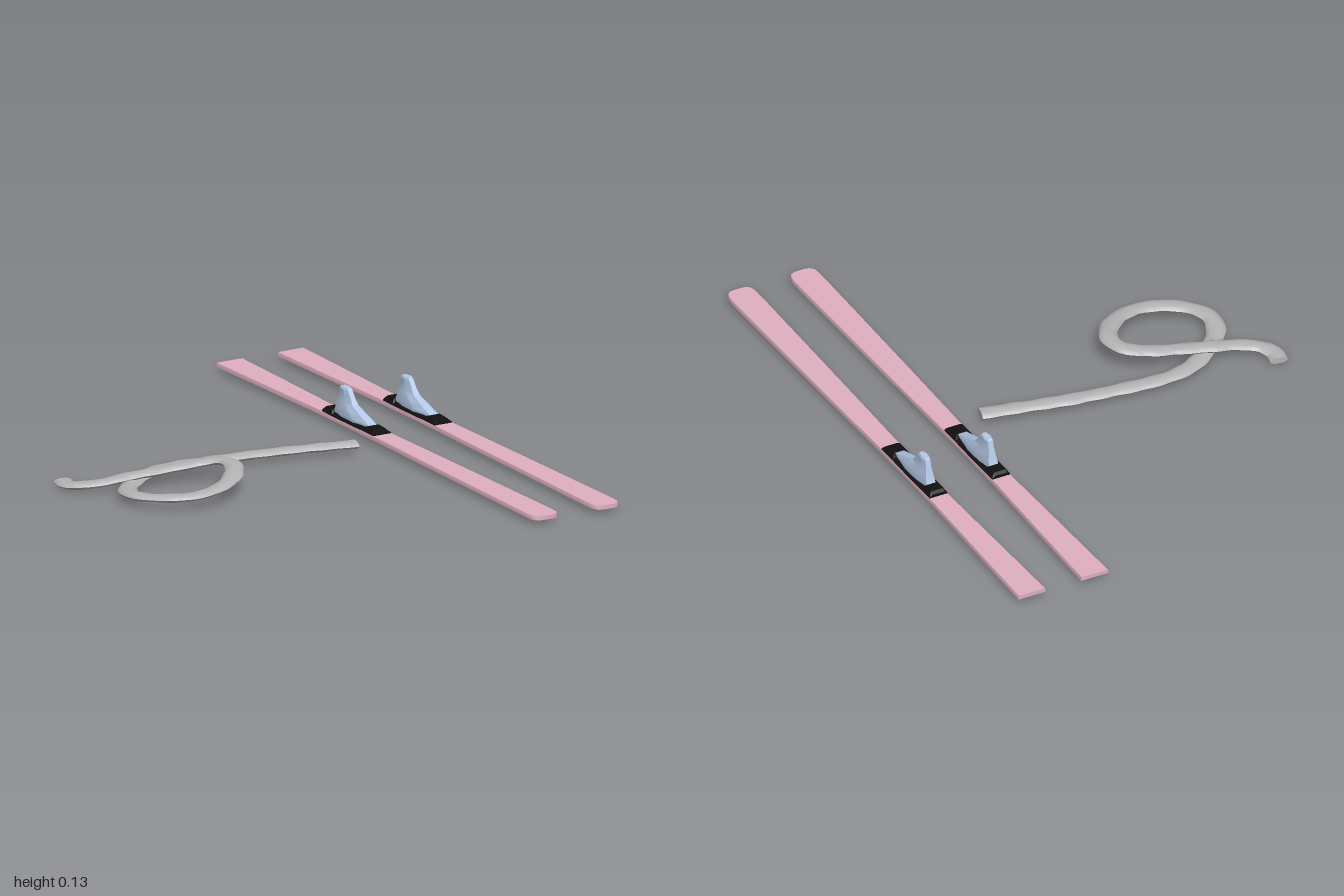
import * as THREE from 'three';
import { toCreasedNormals } from 'three/addons/utils/BufferGeometryUtils.js';

// Skin a list of rings (each counter-clockwise about the travel direction) and cap both ends
function loft(rings, crease) {
  const n = rings[0].length, pos = [], index = [];
  rings.forEach(r => r.forEach(p => pos.push(...p)));
  for (let i = 0; i < rings.length - 1; i++) {
    for (let j = 0; j < n; j++) {
      const a = i * n + j, b = i * n + (j + 1) % n;
      index.push(a, b, b + n, a, b + n, a + n);
    }
  }
  const last = (rings.length - 1) * n;
  for (let j = 1; j < n - 1; j++) {
    index.push(0, j + 1, j);
    index.push(last, last + j, last + j + 1);
  }
  const g = new THREE.BufferGeometry();
  g.setAttribute('position', new THREE.Float32BufferAttribute(pos, 3));
  g.setIndex(index);
  return toCreasedNormals(g, crease);
}

function part(name, geometry, color) {
  const m = new THREE.Mesh(geometry, new THREE.MeshStandardMaterial({ color }));
  m.name = name;
  return m;
}

// Ski: waisted plank with a square tail and a rounded tip
function skiGeometry() {
  const stations = [
    [-1, 0.05], [-0.7, 0.043], [-0.4, 0.035], [-0.2, 0.034], [0, 0.036],
    [0.3, 0.041], [0.6, 0.045], [0.9, 0.049], [0.96, 0.049],
    [0.98, 0.046], [0.99, 0.041], [0.997, 0.031], [1, 0.02],
  ];
  return loft(stations.map(([z, w]) => [
    [-w, 0.017, z], [w, 0.017, z], [w, 0.024, z],
    [w * 0.95, 0.031, z], [-w * 0.95, 0.031, z], [-w, 0.024, z],
  ]), 0.5);
}

// Binding: black block with sloping sides, higher at toe and heel
function bindingGeometry() {
  const stations = [
    [-0.365, 0.042], [-0.355, 0.049], [-0.315, 0.049], [-0.305, 0.041],
    [-0.115, 0.041], [-0.1, 0.047], [-0.06, 0.045], [-0.04, 0.038],
  ];
  return loft(stations.map(([z, top]) => [
    [-0.033, 0.03, z], [0.033, 0.03, z], [0.033, 0.035, z],
    [0.022, top, z], [-0.022, top, z], [-0.033, 0.035, z],
  ]), 0.3);
}

// Boot: sections stacked upward, from a long sole to a narrow shaft
function bootGeometry() {
  const sections = [ // y, heel z, toe z, half width
    [0.036, -0.314, -0.095, 0.026],
    [0.047, -0.314, -0.1, 0.026],
    [0.062, -0.308, -0.145, 0.024],
    [0.085, -0.303, -0.208, 0.018],
    [0.105, -0.298, -0.225, 0.014],
    [0.128, -0.292, -0.242, 0.014],
    [0.134, -0.288, -0.247, 0.011],
  ];
  return loft(sections.map(([y, heel, toe, w]) => {
    const at = t => heel + (toe - heel) * t;
    return [
      [w, y, at(0.6)], [w * 0.95, y, at(0.25)], [w * 0.65, y, at(0)], [-w * 0.65, y, at(0)],
      [-w * 0.95, y, at(0.25)], [-w, y, at(0.6)], [-w * 0.6, y, at(1)], [w * 0.6, y, at(1)],
    ];
  }), 0.3);
}

// Scarf: flattened, slightly lumpy band swept along a looping path
function scarfGeometry() {
  const path = new THREE.CatmullRomCurve3([
    [0.32, 0.027, -0.005], [0.2, 0.027, -0.032], [0.02, 0.026, -0.07], [-0.15, 0.025, -0.093],
    [-0.3, 0.025, -0.105], [-0.4, 0.025, -0.088], [-0.5, 0.025, -0.025], [-0.58, 0.028, 0.06],
    [-0.595, 0.033, 0.14], [-0.54, 0.037, 0.22], [-0.44, 0.042, 0.265], [-0.34, 0.053, 0.25],
    [-0.26, 0.067, 0.19], [-0.218, 0.075, 0.11], [-0.235, 0.073, 0.05], [-0.31, 0.061, 0.012],
    [-0.41, 0.05, -0.012], [-0.51, 0.041, -0.034], [-0.61, 0.028, -0.055], [-0.67, 0.02, -0.09],
    [-0.692, 0.015, -0.13], [-0.684, 0.015, -0.175],
  ].map(p => new THREE.Vector3(...p)));
  const steps = 160, sides = 12, up = new THREE.Vector3(0, 1, 0), rings = [];
  for (let i = 0; i <= steps; i++) {
    const c = path.getPointAt(i / steps), t = path.getTangentAt(i / steps);
    const side = new THREE.Vector3().crossVectors(up, t).normalize();
    const top = new THREE.Vector3().crossVectors(t, side);
    const w = 0.031 + 0.0015 * Math.sin(i * 0.9) + 0.001 * Math.sin(i * 0.37);
    const ring = [];
    for (let j = 0; j < sides; j++) {
      const a = j / sides * Math.PI * 2;
      const h = 0.0115 + 0.0012 * Math.sin(i * 0.7 + j * 2);
      ring.push(c.clone().addScaledVector(side, Math.cos(a) * w)
        .addScaledVector(top, Math.sin(a) * h).toArray());
    }
    rings.push(ring);
  }
  return loft(rings, 1.1);
}

export function createModel() {
  const model = new THREE.Group();
  model.name = 'skisAndScarf';
  const ski = skiGeometry(), binding = bindingGeometry(), boot = bootGeometry();
  [['right', 0.438], ['left', 0.668]].forEach(([name, x]) => {
    const g = new THREE.Group();
    g.name = name + 'SkiSet';
    g.add(part('ski', ski, 0xe0b0c0), part('binding', binding, 0x111111), part('boot', boot, 0xb4c8e6));
    g.position.x = x;
    model.add(g);
  });
  model.add(part('scarf', scarfGeometry(), 0xb4b4b4));
  return model;
}
